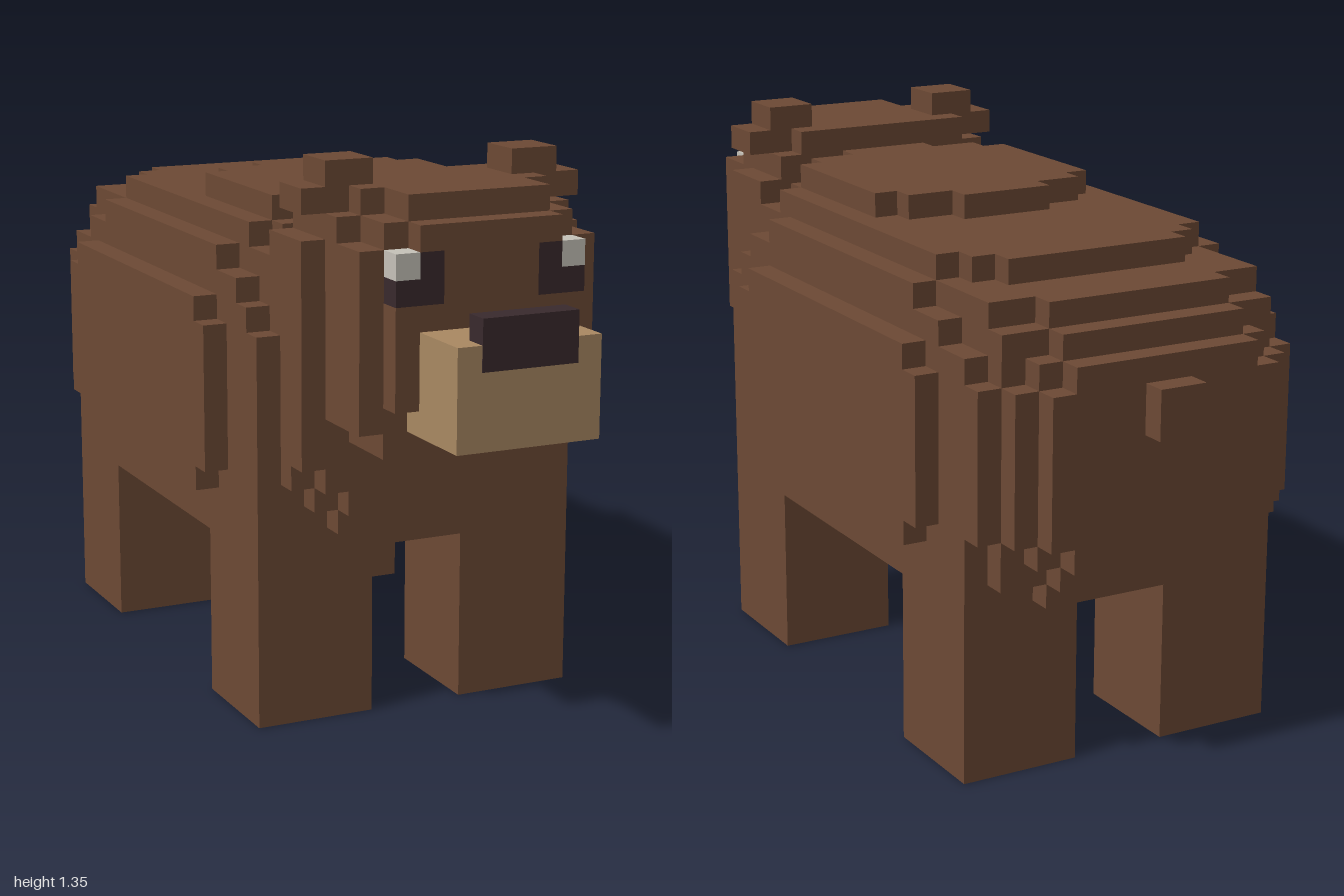
import * as THREE from 'three';
import { mergeGeometries } from 'three/addons/utils/BufferGeometryUtils.js';

const V = 1 / 17; // edge of one block

const make = (name, color) => {
  const m = new THREE.MeshStandardMaterial({ color });
  m.name = name;
  return m;
};

// Box from block-unit bounds
function block(x0, x1, y0, y1, z0, z1) {
  const g = new THREE.BoxGeometry((x1 - x0) * V, (y1 - y0) * V, (z1 - z0) * V);
  return g.translate((x0 + x1) / 2 * V, (y0 + y1) / 2 * V, (z0 + z1) / 2 * V);
}

// Slabs centred on x = 0: [half width, y0, y1, z0, z1]
const slabs = (list) => mergeGeometries(list.map(([w, ...r]) => block(-w, w, ...r)));

export function createModel() {
  const fur = make('brown fur', 0x6e4a35);
  const tan = make('tan muzzle', 0xab8a63);
  const dark = make('dark nose and eyes', 0x3a2a2d);
  const white = make('eye highlight', 0xc8c4bb);

  const group = new THREE.Group();
  group.name = 'bear';
  const add = (name, geometry, material) => {
    const mesh = new THREE.Mesh(geometry, material);
    mesh.name = name;
    group.add(mesh);
  };

  // Rounded barrel body stepped in block layers
  add('body', slabs([
    // flanks
    [8, 10, 16, -11, 5], [8, 9, 17, -10, 4],
    // ribs
    [7, 10, 16, -14, 8], [7, 7, 17, -13, 7], [7, 7, 16, -13, 8],
    [7, 7, 18, -11, 6], [7, 7, 19, -9, 4],
    // rump
    [6, 10, 16, -15, 0], [5, 9, 17, -15, 0], [4, 8, 18, -15, 0],
    [6, 8, 18, -14, 0], [4, 7, 19, -14, 0], [6, 7, 19, -13, 0],
    [5, 10, 16, -16, 0], [4, 9, 17, -16, 0],
    // chest and shoulders
    [6, 11, 17, 0, 10], [5, 10, 18, 0, 10], [4, 9, 18, 0, 10],
    [6, 10, 18, 0, 9], [5, 9, 19, 0, 9], [4, 8, 19, 0, 9], [6, 8, 19, 0, 7],
    // back
    [4, 18, 20, -11, 7], [5, 18, 20, -10, 6], [6, 18, 20, -9, 5],
    [2, 19, 21, -4, 7], [4, 19, 21, -3, 6], [5, 19, 21, -2, 5],
    // belly
    [5, 6, 8, -8, 3],
  ]), fur);

  add('tail', slabs([[1, 14, 16, -17, -15]]), fur);

  // Head with stepped cheeks and brow
  add('head', slabs([
    [6, 14, 20, 7, 10], [5, 13, 20, 7, 13], [5, 13, 21, 7, 11],
    [4, 12, 21, 7, 13], [4, 13, 22, 7, 11], [3, 20, 22, 7, 13],
    [4, 14, 18, 12, 14], [2, 17, 20, 12, 14], [3, 20, 21, 12, 14],
  ]), fur);

  add('muzzle', slabs([[3, 13, 17, 13, 17]]), tan);
  add('nose', slabs([[2, 16, 18, 16, 17.04]]), dark);

  // Paired parts
  for (const [side, s] of [['left', 1], ['right', -1]]) {
    const half = (a, b, ...r) => block(Math.min(s * a, s * b), Math.max(s * a, s * b), ...r);
    add(side + 'FrontLeg', half(2, 7, 0, 8, 3, 8), fur);
    add(side + 'BackLeg', half(2, 7, 0, 8, -13, -8), fur);
    add(side + 'Ear', mergeGeometries([
      half(3, 6, 21, 22, 8, 10), half(3, 5, 22, 23, 8, 10),
    ]), fur);
    add(side + 'Eye', mergeGeometries([
      half(2, 4, 18, 19, 13, 14), half(2, 3, 19, 20, 13, 14),
    ]), dark);
    add(side + 'EyeHighlight', half(3, 4, 19, 20, 13, 14), white);
  }
  return group;
}
